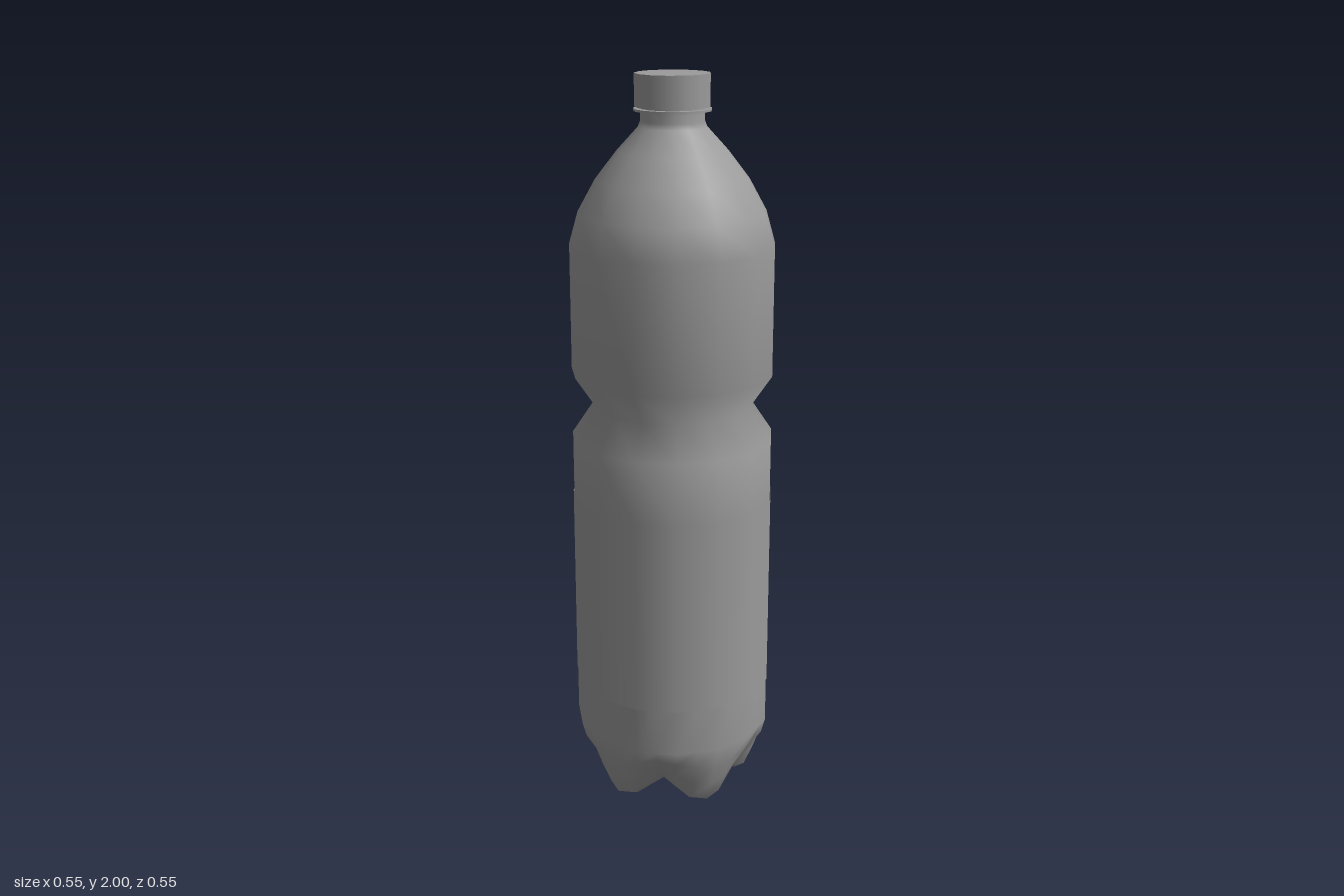
import * as THREE from 'three';

const SIDES = 15, FEET = 5;
const TURN = THREE.MathUtils.degToRad(-4); // a corner of the 15-sided body sits just left of the front
const RADIUS = 0.274;

const material = new THREE.MeshStandardMaterial({ color: 0x9b9b9b, side: THREE.DoubleSide });

function add(group, name, geometry, y = 0) {
  const mesh = new THREE.Mesh(geometry, material);
  mesh.name = name;
  mesh.position.y = y;
  group.add(mesh);
}

function lathe(profile) {
  return new THREE.LatheGeometry(profile.map(([r, y]) => new THREE.Vector2(r, y)), SIDES, TURN);
}

// Five-footed base: blends a foot profile into a valley profile around the axis
function footedBase() {
  const foot = [[RADIUS, 0.34], [RADIUS, 0.2], [0.262, 0.14], [0.241, 0.075], [0.217, 0.015], [0.19, 0.003], [0.14, 0.007], [0.075, 0.035], [0, 0.05]];
  const valley = [[RADIUS, 0.34], [RADIUS, 0.2], [0.264, 0.172], [0.228, 0.135], [0.19, 0.09], [0.155, 0.058], [0.11, 0.043], [0.06, 0.045], [0, 0.05]];
  const columns = SIDES * 2;
  const positions = [], index = [];
  foot.forEach(([footR, footY], row) => {
    const [valleyR, valleyY] = valley[row];
    for (let j = 0; j < columns; j++) {
      const angle = (j / columns) * Math.PI * 2;
      // broad feet, narrow valleys
      const w = 1 - Math.pow(0.5 - 0.5 * Math.cos(angle * FEET), 1.5);
      // odd columns lie on the middle of the polygon's sides
      const r = THREE.MathUtils.lerp(valleyR, footR, w) * (j % 2 ? Math.cos(Math.PI / SIDES) : 1);
      positions.push(r * Math.sin(angle + TURN), THREE.MathUtils.lerp(valleyY, footY, w), r * Math.cos(angle + TURN));
      if (row === 0) continue;
      const next = (j + 1) % columns;
      const a = (row - 1) * columns + j, b = row * columns + j;
      const c = row * columns + next, d = (row - 1) * columns + next;
      index.push(a, b, d);
      if (row < foot.length - 1) index.push(b, c, d);
    }
  });
  const geometry = new THREE.BufferGeometry();
  geometry.setAttribute('position', new THREE.Float32BufferAttribute(positions, 3));
  geometry.setIndex(index);
  geometry.computeVertexNormals();
  return geometry;
}

export function createModel() {
  const bottle = new THREE.Group();
  bottle.name = 'bottle';

  add(bottle, 'base', footedBase());

  // Body with pinched waist, tapering shoulder and neck
  add(bottle, 'body', lathe([
    [RADIUS, 0.34], [RADIUS, 0.87], [RADIUS, 1.04], [0.214, 1.13], [RADIUS, 1.22],
    [RADIUS, 1.56], [0.25, 1.645], [0.203, 1.73], [0.145, 1.805],
    [0.09, 1.865], [0.084, 1.88], [0.084, 1.92],
  ]));

  // Wrap-around label
  add(bottle, 'label', lathe([[RADIUS + 0.002, 0.33], [RADIUS + 0.002, 0.87]]));

  // Neck ring and screw cap
  add(bottle, 'neckRing', new THREE.CylinderGeometry(0.102, 0.102, 0.006, SIDES, 1, false, TURN), 1.909);
  add(bottle, 'cap', new THREE.CylinderGeometry(0.099, 0.099, 0.084, 13, 1, false, Math.PI / 2), 1.958);

  return bottle;
}
